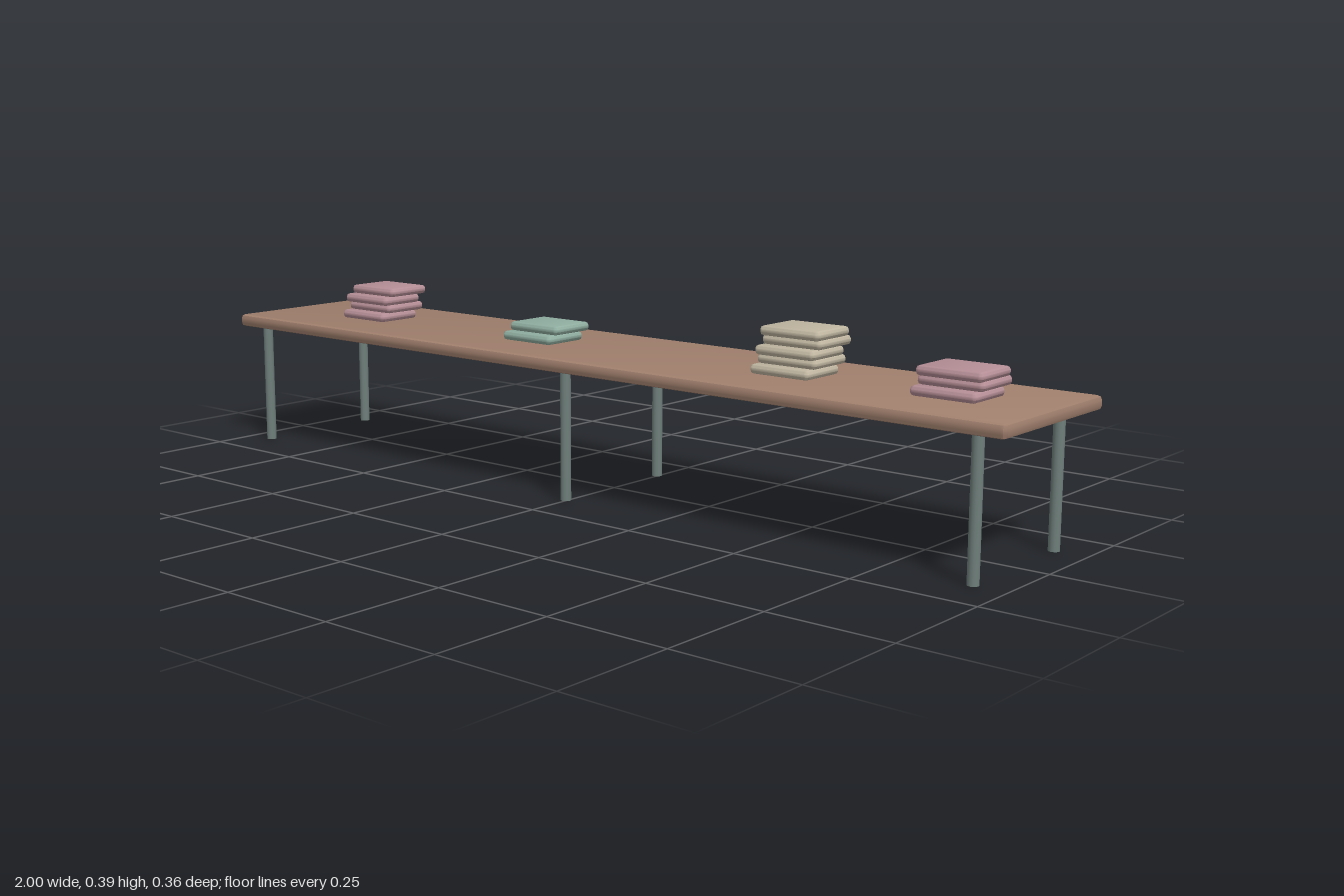
import * as THREE from 'three';
import { toCreasedNormals } from 'three/addons/utils/BufferGeometryUtils.js';

const material = (name, color) => new THREE.MeshStandardMaterial({ name, color });

// Bevelled slab standing on y = 0, centred on x and z
function slab(width, height, depth, bevel, crease) {
  const w = width / 2 - bevel, d = depth / 2 - bevel;
  const r = bevel * 0.4;
  const s = new THREE.Shape();
  s.moveTo(-w + r, -d);
  s.lineTo(w - r, -d);
  s.quadraticCurveTo(w, -d, w, -d + r);
  s.lineTo(w, d - r);
  s.quadraticCurveTo(w, d, w - r, d);
  s.lineTo(-w + r, d);
  s.quadraticCurveTo(-w, d, -w, d - r);
  s.lineTo(-w, -d + r);
  s.quadraticCurveTo(-w, -d, -w + r, -d);
  const g = new THREE.ExtrudeGeometry(s, {
    depth: height - 2 * bevel, curveSegments: 3,
    bevelThickness: bevel, bevelSize: bevel, bevelSegments: 2,
  });
  g.rotateX(-Math.PI / 2);
  g.translate(0, bevel, 0);
  return toCreasedNormals(g, crease);
}

export function createModel() {
  const model = new THREE.Group();
  model.name = 'displayTable';

  const wood = material('brown wood', 0xa07f6d);
  const metal = material('grey metal', 0x6f7f7b);
  const pink = material('dusty pink', 0xb58e96);
  const green = material('sage green', 0x8fada0);
  const beige = material('beige', 0xbfb5a0);

  // Long table top
  const top = new THREE.Mesh(slab(2, 0.027, 0.356, 0.008, 0.45), wood);
  top.name = 'tableTop';
  top.position.y = 0.266;
  model.add(top);

  // Three pairs of round legs
  const legGeometry = new THREE.CylinderGeometry(0.011, 0.011, 0.27, 12);
  for (const x of [-0.938, -0.004, 0.932]) {
    for (const z of [0.146, -0.146]) {
      const leg = new THREE.Mesh(legGeometry, metal);
      leg.name = 'leg';
      leg.position.set(x, 0.135, z);
      model.add(leg);
    }
  }

  // Stacks of folded cloth, each layer shifted a little
  const clothGeometry = slab(0.135, 0.0185, 0.108, 0.0065, 0.9);
  const stacks = [
    { x: -0.712, layers: 4, cloth: pink },
    { x: -0.2, layers: 2, cloth: green },
    { x: 0.452, layers: 5, cloth: beige },
    { x: 0.805, layers: 3, cloth: pink },
  ];
  for (const { x, layers, cloth } of stacks) {
    const stack = new THREE.Group();
    stack.name = 'clothStack';
    stack.position.set(x, 0.293, 0);
    for (let i = 0; i < layers; i++) {
      const fold = new THREE.Mesh(clothGeometry, cloth);
      fold.name = 'foldedCloth';
      fold.position.set(i * 0.0055, i * 0.019, i % 2 ? -0.015 : 0.001);
      stack.add(fold);
    }
    model.add(stack);
  }
  return model;
}
